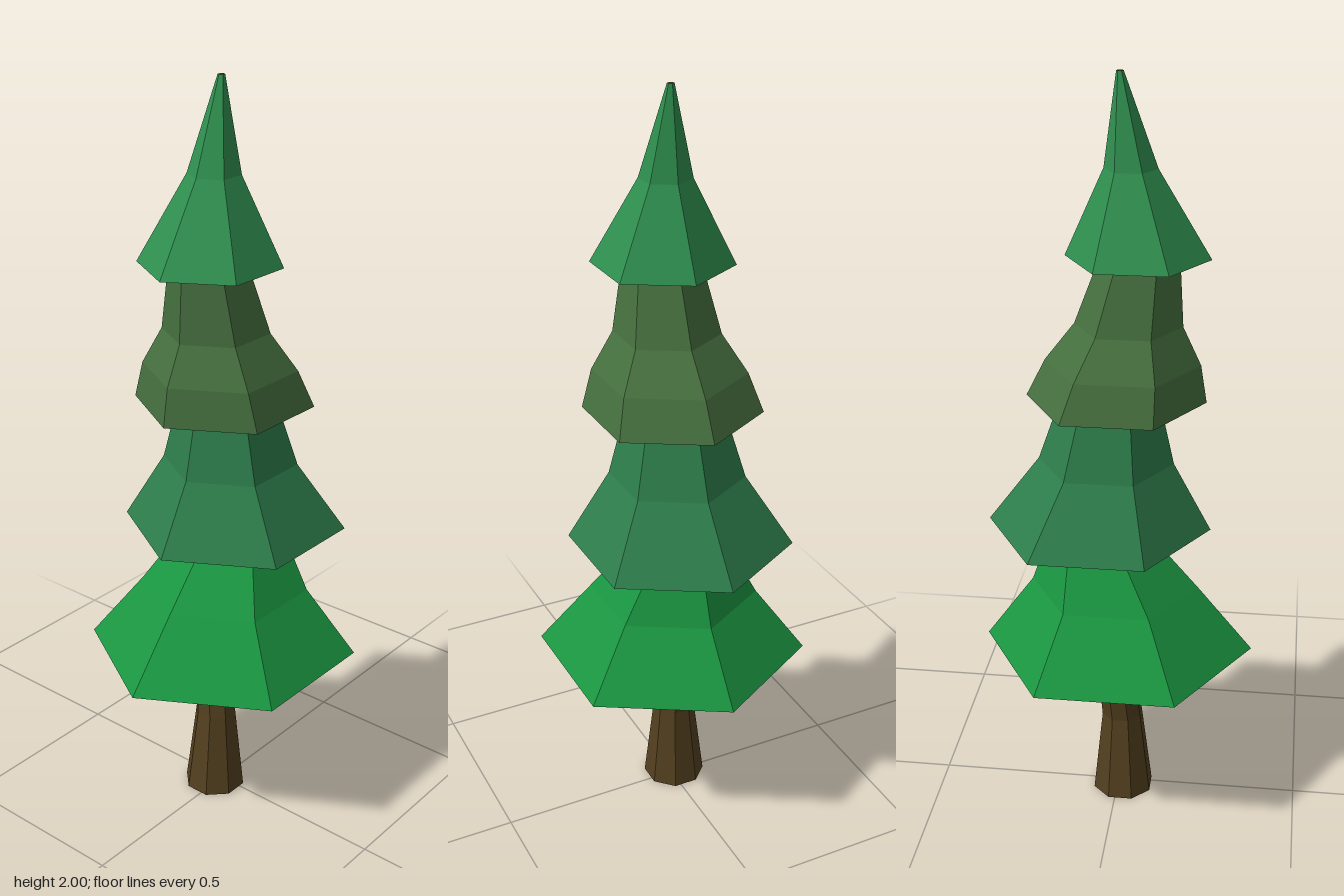
import * as THREE from 'three';

// Skin a stack of horizontal rings [y, radius, centreX, centreZ] with flat facets.
function loft(name, color, rings, sides, turn = 0, capBottom = false, capTop = false) {
  const pos = [];
  const corner = ([y, r, cx, cz], i) => {
    const a = (i / sides) * Math.PI * 2 + turn;
    return [cx + r * Math.sin(a), y, cz + r * Math.cos(a)];
  };
  const centre = ([y, , cx, cz]) => [cx, y, cz];
  const first = rings[0], last = rings[rings.length - 1];
  for (let i = 0; i < sides; i++) {
    for (let k = 0; k < rings.length - 1; k++) {
      const a = corner(rings[k], i), b = corner(rings[k], i + 1);
      const c = corner(rings[k + 1], i + 1), d = corner(rings[k + 1], i);
      pos.push(...a, ...b, ...c, ...a, ...c, ...d);
    }
    if (capBottom) pos.push(...centre(first), ...corner(first, i + 1), ...corner(first, i));
    if (capTop) pos.push(...centre(last), ...corner(last, i), ...corner(last, i + 1));
  }
  const geometry = new THREE.BufferGeometry();
  geometry.setAttribute('position', new THREE.Float32BufferAttribute(pos, 3));
  geometry.computeVertexNormals();
  const material = new THREE.MeshStandardMaterial({ color, flatShading: true, side: THREE.DoubleSide });
  const mesh = new THREE.Mesh(geometry, material);
  mesh.name = name;
  return mesh;
}

export function createModel() {
  const tree = new THREE.Group();
  tree.name = 'pineTree';

  // Crooked trunk, running up inside the lowest branches
  tree.add(loft('trunk', 0x53401f, [
    [0, 0.085, -0.015, 0.015],
    [0.24, 0.057, -0.013, 0.012],
    [0.46, 0.052, -0.04, -0.008],
    [0.72, 0.045, -0.03, -0.035],
  ], 8, Math.PI / 8, true, true));

  // Foliage: each tier is a flared hexagonal skirt leaning off centre
  const tiers = [
    ['lowestBranches', 0x1a9641, [
      [0.46, 0.365, 0, 0], [0.64, 0.225, 0, -0.01], [0.79, 0.134, 0, -0.05]]],
    ['lowerBranches', 0x2d7d4b, [
      [0.815, 0.297, 0, -0.052], [1.0, 0.178, 0, -0.033], [1.175, 0.128, 0, -0.022]]],
    ['upperBranches', 0x46703f, [
      [1.175, 0.233, 0, -0.007], [1.275, 0.2, 0, 0.01], [1.375, 0.138, 0, 0.025], [1.55, 0.1, 0, 0.053]]],
    ['crownBranches', 0x2f8f4f, [
      [1.55, 0.183, 0, 0.048], [1.77, 0.067, 0, 0.03], [2.0, 0.009, 0, 0.003]]],
  ];
  tiers.forEach(([name, color, rings], t) => {
    // The underside closes each upper tier onto the neck of the tier below
    const neck = t > 0 ? [tiers[t - 1][2].at(-1)] : [];
    tree.add(loft(name, color, [...neck, ...rings], 6));
  });

  // Bare wood at the very tip
  const tip = new THREE.Mesh(
    new THREE.CylinderGeometry(0.009, 0.009, 0.004, 6),
    new THREE.MeshStandardMaterial({ color: 0x53401f, flatShading: true }));
  tip.name = 'woodTip';
  tip.position.set(0, 1.998, 0.003);
  tree.add(tip);

  return tree;
}
